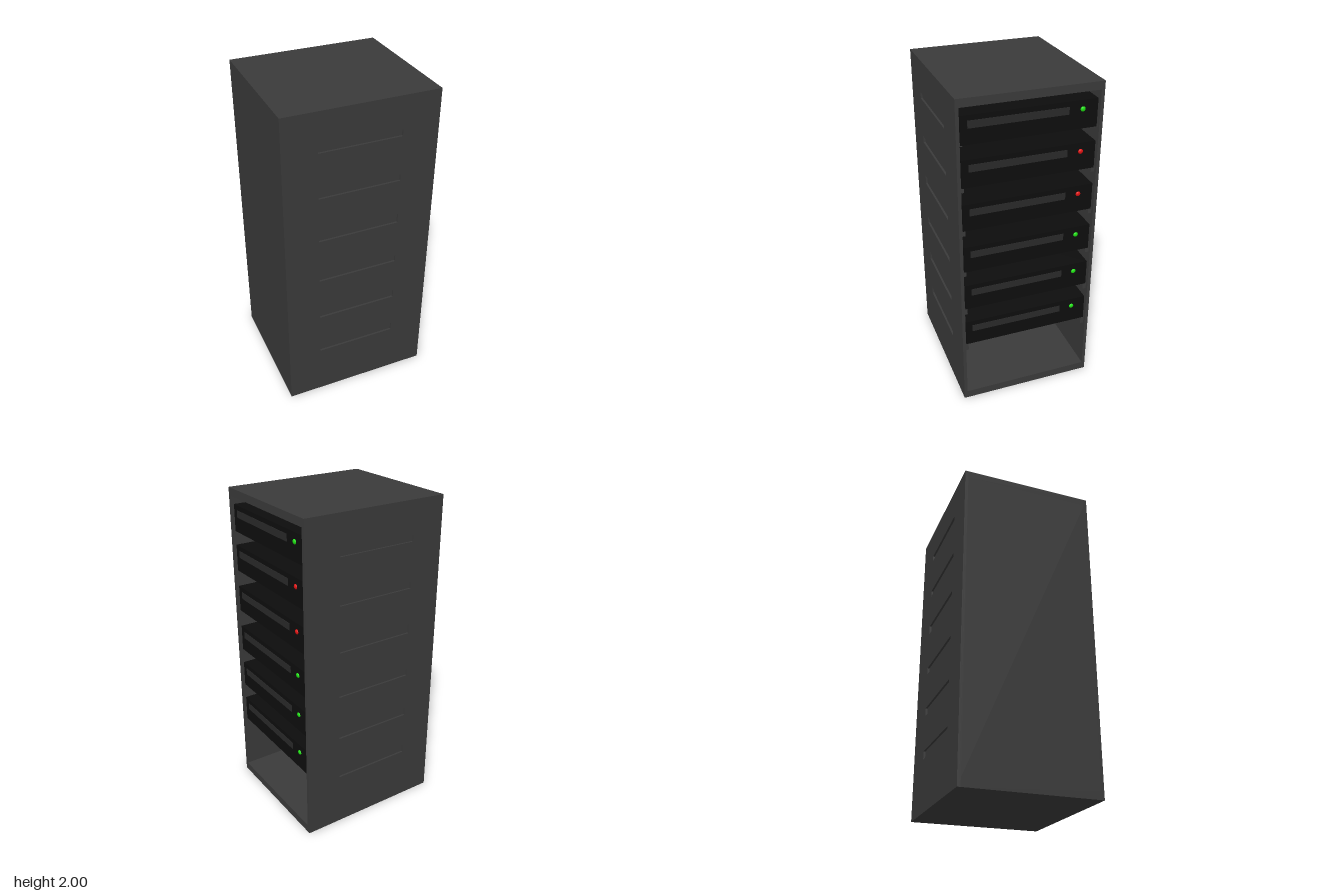
import * as THREE from 'three';

const W = 0.93, H = 2, D = 0.84;      // cabinet size in x, y, z
const SKIN = 0.012, BACKING = 0.008;  // pierced outer skin and its backing sheet

const metal = (color) => new THREE.MeshStandardMaterial({ color });
const cabinetMat = metal(0x3a3a3a);
const serverMat = metal(0x0d0d0d);
const bayMat = metal(0x292929);
const greenMat = metal(0x1ee012);
const redMat = metal(0xe01212);

// Box given by its lower and upper corners
function box(name, mat, [x0, y0, z0], [x1, y1, z1]) {
  const mesh = new THREE.Mesh(new THREE.BoxGeometry(x1 - x0, y1 - y0, z1 - z0), mat);
  mesh.position.set((x0 + x1) / 2, (y0 + y1) / 2, (z0 + z1) / 2);
  mesh.name = name;
  return mesh;
}

function rectangle(path, x0, y0, x1, y1) {
  path.moveTo(x0, y0).lineTo(x1, y0).lineTo(x1, y1).lineTo(x0, y1).closePath();
  return path;
}

// Side wall: skin with six long recesses, closed from inside by a sheet
function sideWall(side) {
  const wall = new THREE.Group();
  wall.name = side > 0 ? 'frontSideWall' : 'rearSideWall';
  const shape = rectangle(new THREE.Shape(), -W / 2, 0, W / 2, H);
  const recesses = [[1.758, 1.797], [1.475, 1.517], [1.188, 1.247], [0.9, 0.944], [0.615, 0.668], [0.334, 0.387]];
  for (const [lo, hi] of recesses) {
    shape.holes.push(rectangle(new THREE.Path(), -0.258, lo, 0.242, hi));
  }
  const skin = new THREE.Mesh(
    new THREE.ExtrudeGeometry(shape, { depth: SKIN, bevelEnabled: false }), cabinetMat);
  skin.name = 'recessedSkin';
  skin.position.z = side > 0 ? D / 2 - SKIN : -D / 2;
  const outer = D / 2 - SKIN, inner = outer - BACKING;
  const z0 = side > 0 ? inner : -outer, z1 = side > 0 ? outer : -inner;
  wall.add(skin, box('backingSheet', cabinetMat, [-W / 2, 0, z0], [W / 2, H, z1]));
  return wall;
}

// Server unit facing +x, with a drive bay strip and a status light
function server(top, lightMat) {
  const unit = new THREE.Group();
  unit.name = 'server';
  const face = 0.45;
  unit.add(box('serverCase', serverMat, [-0.4, top - 0.165, -0.392], [face, top, 0.392]));
  unit.add(box('driveBay', bayMat, [face - 0.01, top - 0.073, -0.222], [face + 0.003, top - 0.03, 0.352]));
  const light = new THREE.Mesh(new THREE.SphereGeometry(0.015, 16, 12), lightMat);
  light.name = 'statusLight';
  light.scale.x = 0.6;
  light.position.set(face, top - 0.052, -0.303);
  unit.add(light);
  return unit;
}

export function createModel() {
  const model = new THREE.Group();
  model.name = 'serverRack';

  // Cabinet shell, open towards +x
  const zIn = D / 2 - SKIN - BACKING;
  model.add(sideWall(1), sideWall(-1));
  model.add(box('floorPanel', cabinetMat, [-W / 2, 0, -zIn], [W / 2, 0.05, zIn]));
  model.add(box('roofPanel', cabinetMat, [-W / 2, H - 0.048, -zIn], [W / 2, H, zIn]));
  model.add(box('backPanel', cabinetMat, [-W / 2, 0.05, -zIn], [-W / 2 + 0.03, H - 0.048, zIn]));

  // Servers and the pairs of rails that carry them
  const tops = [1.902, 1.652, 1.385, 1.112, 0.85, 0.585];
  const lights = [greenMat, redMat, redMat, greenMat, greenMat, greenMat];
  tops.forEach((top, i) => {
    model.add(server(top, lights[i]));
    const low = 1.73 - i * 0.272, high = top - 0.165;
    for (const side of [1, -1]) {
      const z0 = side > 0 ? 0.378 : -zIn, z1 = side > 0 ? zIn : -0.378;
      model.add(box('rail', cabinetMat, [-W / 2 + 0.03, low, z0], [0.445, Math.max(high, low + 0.02), z1]));
    }
  });
  return model;
}
